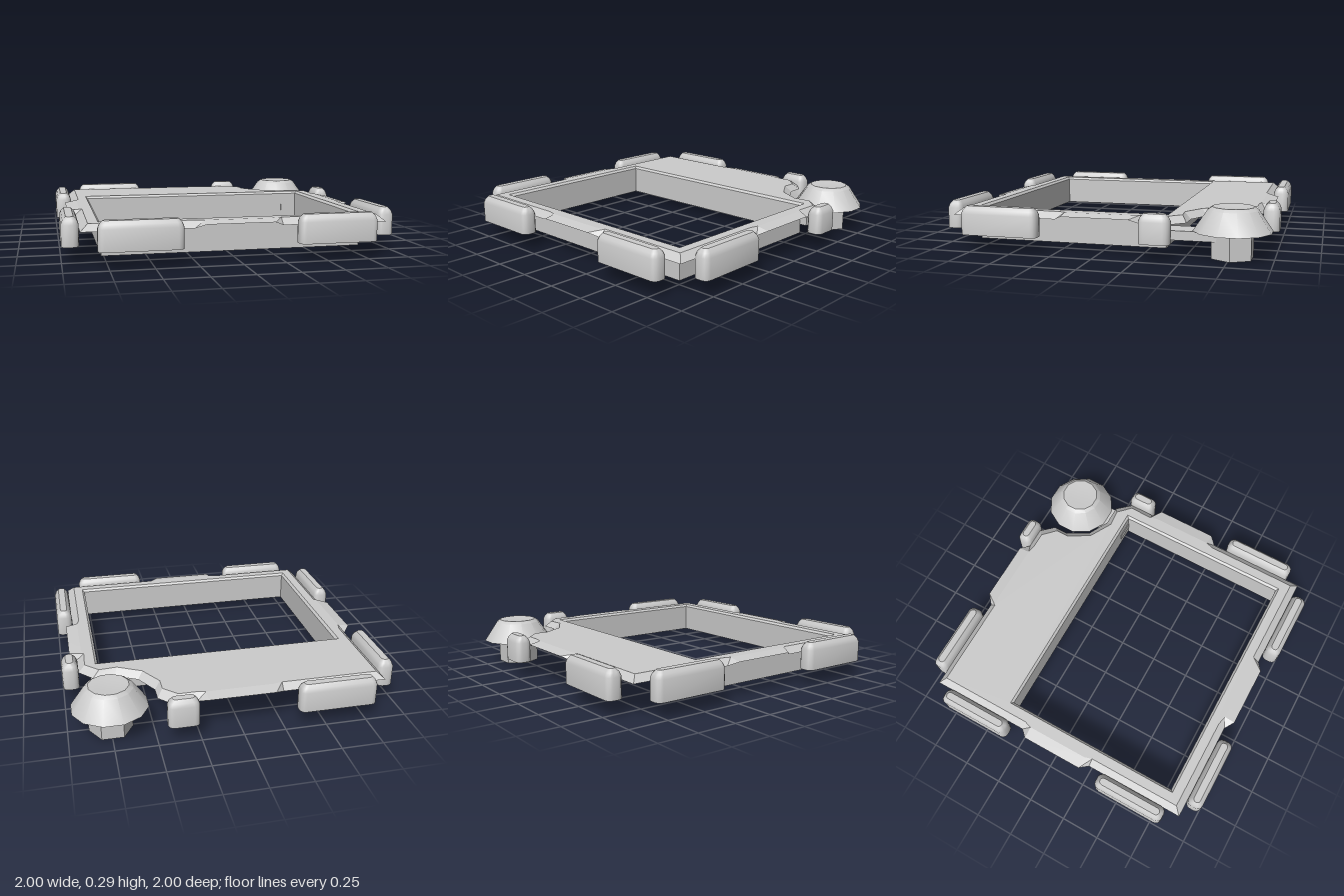
import * as THREE from 'three';
import { toCreasedNormals } from 'three/addons/utils/BufferGeometryUtils.js';

const solid = new THREE.MeshStandardMaterial({ color: 0xcccccc });
const shell = new THREE.MeshStandardMaterial({ color: 0xcccccc, side: THREE.DoubleSide });

// Joins closed rings of [x, y, z] points, listed from bottom to top.
function loft(rings, capped = false, crease = 0.6) {
  const pos = [];
  const n = rings[0].length;
  for (let r = 0; r < rings.length - 1; r++) {
    for (let i = 0; i < n; i++) {
      const j = (i + 1) % n;
      const a = rings[r][i], b = rings[r][j], c = rings[r + 1][i], d = rings[r + 1][j];
      pos.push(...a, ...c, ...b, ...b, ...c, ...d);
    }
  }
  if (capped) {
    const bottom = rings[0], top = rings[rings.length - 1];
    for (let i = 1; i < n - 1; i++) {
      pos.push(...bottom[0], ...bottom[i], ...bottom[i + 1]);
      pos.push(...top[0], ...top[i + 1], ...top[i]);
    }
  }
  const geo = new THREE.BufferGeometry();
  geo.setAttribute('position', new THREE.Float32BufferAttribute(pos, 3));
  return toCreasedNormals(geo, crease);
}

function add(group, name, geo, material = solid) {
  const mesh = new THREE.Mesh(geo, material);
  mesh.name = name;
  group.add(mesh);
  return mesh;
}

const rectangle = (x0, x1, z0, z1, y) => [[x0, y, z0], [x1, y, z0], [x1, y, z1], [x0, y, z1]];

// Rounded bumper pad: straight walls, softly chamfered top.
function padGeometry(w, d) {
  const ring = (y, inset) => {
    const pts = [], r = 0.035 - inset * 0.5;
    const hx = w / 2 - inset, hz = d / 2 - inset;
    [[1, 1], [-1, 1], [-1, -1], [1, -1]].forEach(([sx, sz], q) => {
      for (let k = 0; k <= 3; k++) {
        const t = (q + k / 3) * Math.PI / 2;
        pts.push([sx * (hx - r) + r * Math.cos(t), y, sz * (hz - r) + r * Math.sin(t)]);
      }
    });
    return pts;
  };
  return loft([ring(0.1, 0), ring(0.225, 0), ring(0.25, 0.01), ring(0.27, 0.028)], true, 0.75);
}

// Rim corners: outer x, outer z, outer y, inner x, inner z.
const rim = [
  [-0.9, -0.9, 0.2, -0.855, -0.86],
  [-0.26, -0.9, 0.2, -0.26, -0.86], [-0.2, -0.945, 0.225, -0.2, -0.87],
  [0.2, -0.945, 0.225, 0.2, -0.87], [0.26, -0.9, 0.2, 0.26, -0.86],
  // corner notch around the knob
  [0.4, -0.9, 0.2, 0.36, -0.86], [0.475, -0.82, 0.2, 0.44, -0.78],
  [0.475, -0.72, 0.2, 0.44, -0.69], [0.555, -0.58, 0.2, 0.525, -0.55],
  [0.69, -0.51, 0.2, 0.67, -0.47], [0.82, -0.51, 0.2, 0.78, -0.48],
  [0.9, -0.42, 0.2, 0.86, -0.4],
  // left side, front and right side
  [0.9, -0.25, 0.2, 0.855, -0.25], [0.945, -0.2, 0.225, 0.87, -0.2],
  [0.945, 0.2, 0.225, 0.87, 0.2], [0.9, 0.25, 0.2, 0.855, 0.25],
  [0.9, 0.9, 0.2, 0.855, 0.855],
  [0.26, 0.9, 0.2, 0.26, 0.855], [0.2, 0.94, 0.225, 0.2, 0.87],
  [-0.2, 0.94, 0.225, -0.2, 0.87], [-0.26, 0.9, 0.2, -0.26, 0.855],
  [-0.9, 0.9, 0.2, -0.855, 0.855],
  [-0.9, 0.25, 0.2, -0.855, 0.25], [-0.945, 0.2, 0.225, -0.87, 0.2],
  [-0.945, -0.2, 0.225, -0.87, -0.2], [-0.9, -0.25, 0.2, -0.855, -0.25],
];

export function createModel() {
  const model = new THREE.Group();
  model.name = 'bumperFrame';

  // Flat top plate with a large window
  const top = 0.24;
  const lip = rectangle(-0.795, 0.795, -0.4, 0.795, top);
  const shape = new THREE.Shape(rim.map(p => new THREE.Vector2(p[3], -p[4])));
  shape.holes.push(new THREE.Path(lip.map(p => new THREE.Vector2(p[0], -p[2]))));
  const plate = new THREE.ShapeGeometry(shape).rotateX(-Math.PI / 2).translate(0, top, 0);
  add(model, 'topPlate', plate, shell);

  // Sloping outer rim with four tabs
  add(model, 'slopedRim', loft([
    rim.map(p => [p[0], p[2], p[1]]),
    rim.map(p => [p[3], top, p[4]]),
  ], false, 0.3), shell);

  // Window wall hanging below the plate
  add(model, 'windowWall', loft([
    rectangle(-0.78, 0.78, -0.385, 0.78, 0.04),
    rectangle(-0.78, 0.78, -0.385, 0.78, 0.225),
    lip,
  ], false, 0.3), shell);

  // Bumper pads: centre x, centre z, length along x, length along z
  const pads = new THREE.Group();
  pads.name = 'bumperPads';
  model.add(pads);
  const long = 0.475, thick = 0.1;
  const layout = [
    [-0.95, -0.575, thick, long], [-0.575, -0.95, long, thick],
    [0.95, -0.355, thick, 0.18], [0.348, -0.95, 0.185, thick],
  ];
  for (const s of [-1, 1]) {
    layout.push([s * 0.5725, 0.95, long, thick], [s * 0.95, 0.5725, thick, long]);
  }
  for (const [x, z, w, d] of layout) {
    add(pads, 'bumperPad', padGeometry(w, d)).position.set(x, 0, z);
  }

  // Corner knob: hollow twelve-sided cap on a six-sided post
  const knob = new THREE.Group();
  knob.name = 'cornerKnob';
  knob.position.set(0.747, 0, -0.763);
  model.add(knob);
  const profile = [[0.229, 0.155], [0.145, 0.278], [0.12, 0.295], [0.07, 0.292], [0, 0.288]]
    .map(([r, y]) => new THREE.Vector2(r, y));
  const cap = new THREE.LatheGeometry(profile, 12, Math.PI / 12);
  add(knob, 'knobCap', toCreasedNormals(cap, 0.45), shell);
  const post = new THREE.CylinderGeometry(0.13, 0.13, 0.27, 6).rotateY(Math.PI / 6);
  add(knob, 'knobPost', toCreasedNormals(post, 0.5)).position.y = 0.135;

  // Arm linking the knob post to the window wall
  const arm = new THREE.BoxGeometry(0.16, 0.055, 0.31);
  add(model, 'knobArm', arm).position.set(0.75, 0.1275, -0.535);

  return model;
}
